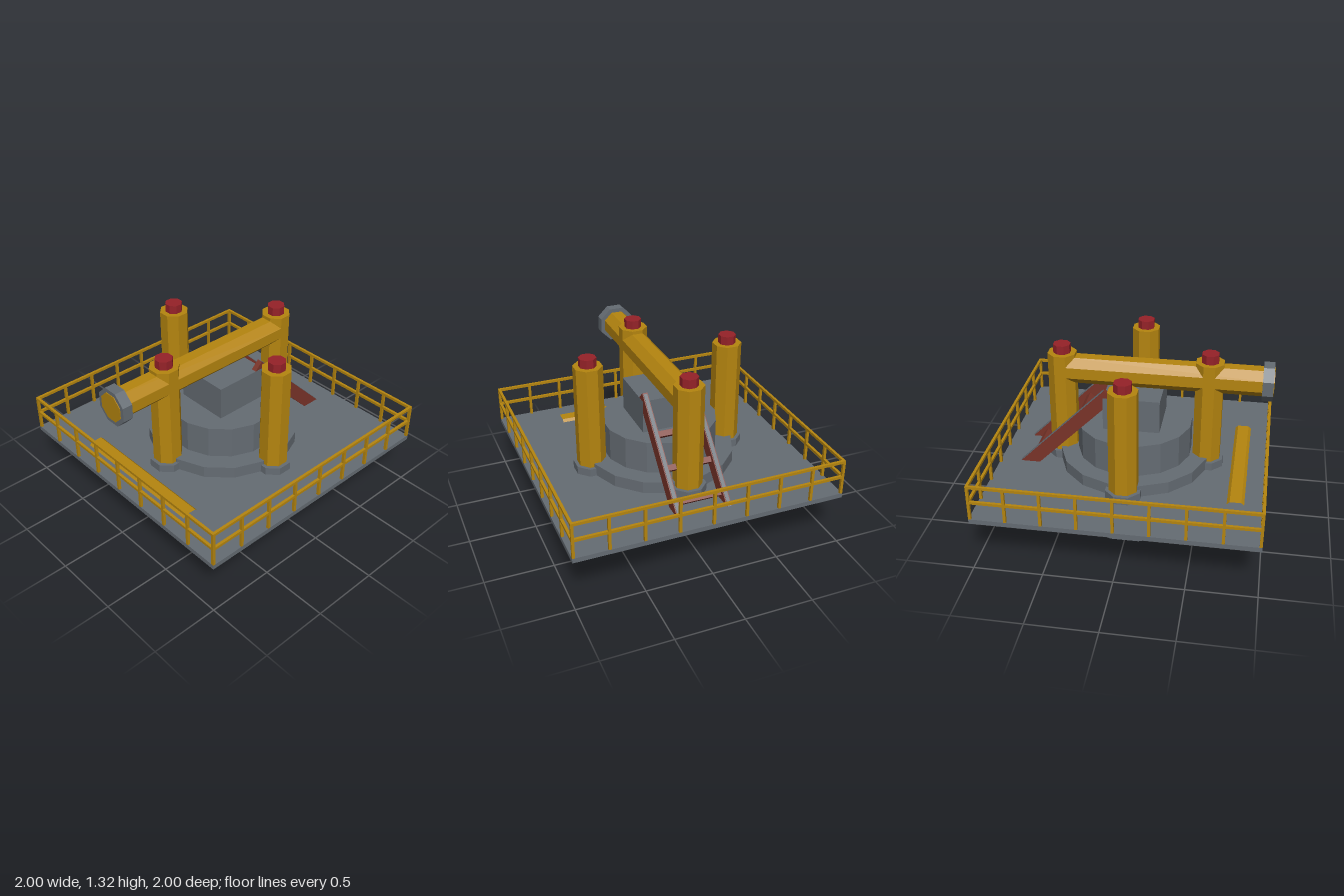
import * as THREE from 'three';

export function createModel() {
  const model = new THREE.Group();
  model.name = 'wellheadPlatform';

  const mat = (name, color, extra = {}) => {
    const m = new THREE.MeshStandardMaterial({ color, ...extra });
    m.name = name;
    return m;
  };
  const yellow = mat('safetyYellow', 0xb5850f);
  const grey = mat('steelGrey', 0x656c73);
  const greyOpen = mat('steelGreyOpen', 0x656c73, { side: THREE.DoubleSide });
  const red = mat('capRed', 0x962228);
  const rust = mat('ladderRust', 0x7a3429);

  const add = (parent, name, geo, material, x = 0, y = 0, z = 0) => {
    const mesh = new THREE.Mesh(geo, material);
    mesh.name = name;
    mesh.position.set(x, y, z);
    parent.add(mesh);
    return mesh;
  };
  const box = (w, h, d) => new THREE.BoxGeometry(w, h, d);

  // Faceted prism sized across its flats, with a flat towards each axis
  const prism = (flat, height, sides, open = false) => {
    const r = flat / Math.cos(Math.PI / sides);
    const g = new THREE.CylinderGeometry(r, r, height, sides, 1, open, Math.PI / sides).toNonIndexed();
    g.computeVertexNormals();
    return g;
  };

  // Deck, open caisson below it and stepped housing above it
  const deckTop = 0.42, deckBottom = 0.385;
  add(model, 'deck', box(2, deckTop - deckBottom, 2), grey, 0, (deckTop + deckBottom) / 2, 0);
  add(model, 'caisson', prism(0.52, deckBottom, 16, true), greyOpen, 0, deckBottom / 2, 0);
  add(model, 'housingBase', prism(0.55, 0.09, 16), grey, 0, 0.465, 0);
  add(model, 'housingDrum', prism(0.42, 0.25, 16), grey, 0, 0.63, 0);
  add(model, 'housingBlock', box(0.415, 0.25, 0.415), grey, 0, 0.88, 0);

  // Four columns with foot flanges and caps
  for (let i = 0; i < 4; i++) {
    const a = i * Math.PI / 2;
    const column = new THREE.Group();
    column.name = 'column';
    column.position.set(0.54 * Math.cos(a), 0, 0.54 * Math.sin(a));
    add(column, 'columnFoot', prism(0.125, 0.06, 8), grey, 0, 0.45, 0);
    add(column, 'columnShaft', prism(0.1, 0.835, 8), yellow, 0, 0.8375, 0);
    add(column, 'columnCap', prism(0.06, 0.065, 8), red, 0, 1.2875, 0);
    model.add(column);
  }

  // Overhead pipe with its end flange
  add(model, 'overheadPipe', prism(0.1, 1.54, 8).rotateZ(Math.PI / 2), yellow, -0.23, 1.13, 0);
  add(model, 'pipeFlange', prism(0.13, 0.077, 8).rotateZ(Math.PI / 2), grey, -0.9565, 1.13, 0);

  // Open pipe sunk through the deck
  add(model, 'deckPipe', prism(0.1, 1.085, 8, true).rotateX(Math.PI / 2), yellow, -0.795, 0.34, 0);

  // Guard rail, one group for each side of the deck
  const spans = 8, edge = 0.99;
  for (let side = 0; side < 4; side++) {
    const rail = new THREE.Group();
    rail.name = 'guardRail';
    rail.rotation.y = side * Math.PI / 2;
    add(rail, 'topRail', box(2, 0.02, 0.02), yellow, 0, 0.68, edge);
    add(rail, 'midRail', box(2, 0.02, 0.02), yellow, 0, 0.557, edge);
    for (let i = 0; i < spans; i++) {
      add(rail, 'railPost', box(0.02, 0.255, 0.02), yellow, -edge + i * 2 * edge / spans, 0.5475, edge);
    }
    model.add(rail);
  }

  // Sloping ladder; its local x runs down the slope
  const ladder = new THREE.Group();
  ladder.name = 'ladder';
  ladder.position.set(0.51, 0.68, 0);
  ladder.rotation.z = -Math.PI / 4;
  for (const s of [-1, 1]) {
    add(ladder, 'ladderStringer', box(0.99, 0.1, 0.04), rust, 0, 0, s * 0.187);
    add(ladder, 'stringerStrip', box(0.97, 0.006, 0.026), grey, 0, 0.051, s * 0.187);
  }
  for (const t of [-0.19, 0.06, 0.305]) {
    add(ladder, 'ladderRung', box(0.042, 0.042, 0.34), rust, t, 0, 0);
  }
  model.add(ladder);

  return model;
}
